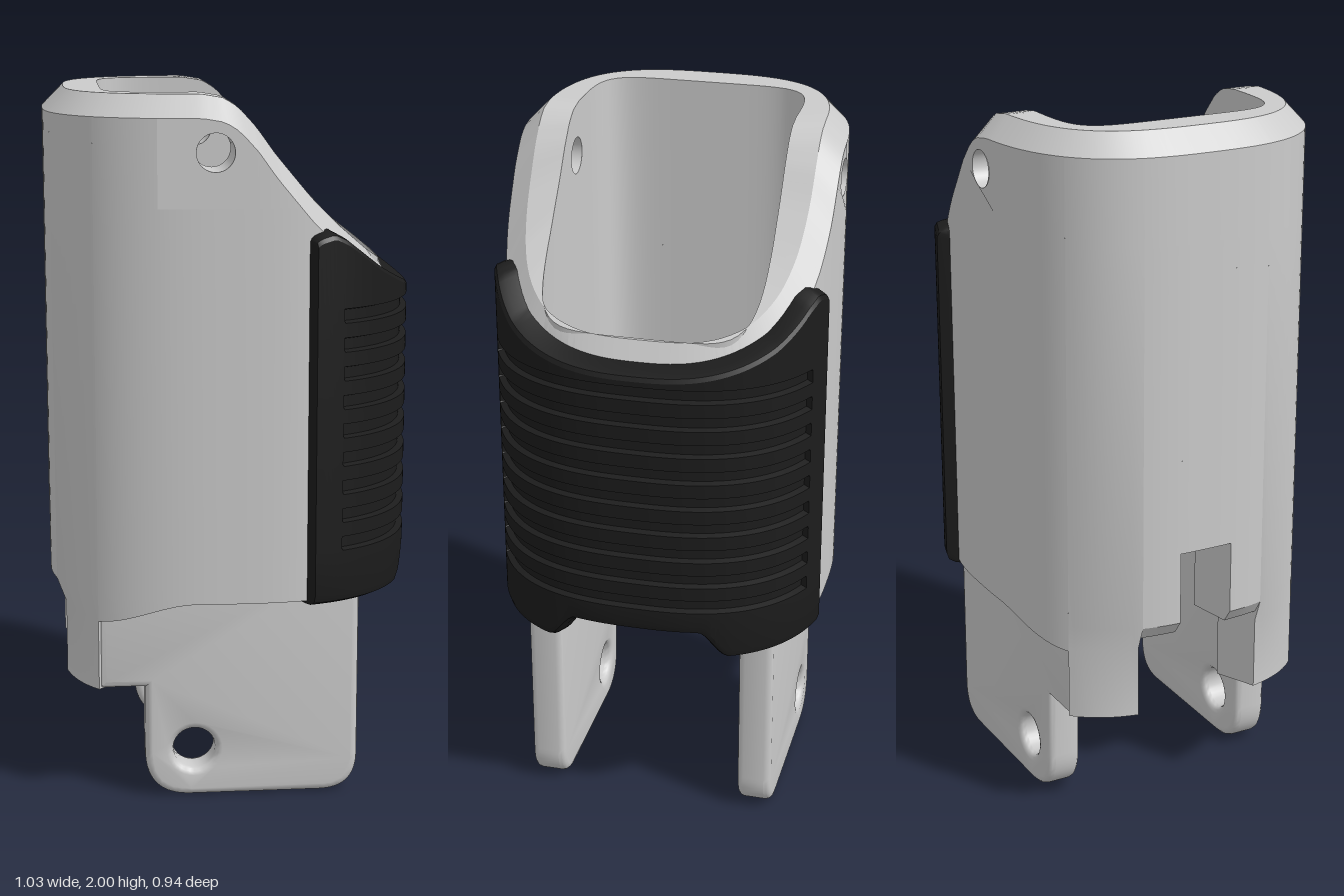
import * as THREE from 'three';
import { toCreasedNormals } from 'three/addons/utils/BufferGeometryUtils.js';

const grey = new THREE.MeshStandardMaterial({ color: 0xcccccc, side: THREE.DoubleSide });
const black = new THREE.MeshStandardMaterial({ color: 0x1c1c1c, side: THREE.DoubleSide });

// Superellipse sections: left and right half-lengths, half-depth, exponent
const OUTER = { l: 0.52, r: 0.465, b: 0.455, n: 2.75 };
const INNER = { l: 0.36, r: 0.42, b: 0.31, n: 6 };
const INNER_LOW = { ...INNER, r: 0.36 };
const RIM = { l: 0.46, r: 0.425, b: 0.395, n: 3 };
const PAD_OUT = { l: 0.5, r: 0.515, b: 0.49, n: 2.6 };
const PAD_IN = { l: 0.45, r: 0.45, b: 0.425, n: 2.75 };

function onSection(s, t) {
  const c = Math.cos(t), k = Math.sin(t), a = c < 0 ? s.l : s.r;
  const r = (Math.abs(c / a) ** s.n + Math.abs(k / s.b) ** s.n) ** (-1 / s.n);
  return [r * c, r * k];
}
const depthAt = (s, x) => s.b * (1 - Math.abs(x / (x < 0 ? s.l : s.r)) ** s.n) ** (1 / s.n);
const lengthAt = (s, z) => s.l * (1 - Math.abs(z / s.b) ** s.n) ** (1 / s.n);
const smooth = THREE.MathUtils.smoothstep;

function curve(points, x) {
  if (x <= points[0][0]) return points[0][1];
  for (let i = 1; i < points.length; i++) {
    const [x0, y0] = points[i - 1], [x1, y1] = points[i];
    if (x <= x1) return y0 + (y1 - y0) * (x - x0) / (x1 - x0);
  }
  return points[points.length - 1][1];
}

// Surface through columns of points; each column is a closed loop
function skin(columns, closed, skip = () => false) {
  const pos = [], n = columns.length, m = columns[0].length;
  const tri = new THREE.Triangle();
  const add = (a, b, c) => {
    if (tri.set(a, b, c).getArea() > 1e-6) for (const p of [a, b, c]) pos.push(p.x, p.y, p.z);
  };
  for (let j = 0; j < (closed ? n : n - 1); j++) {
    const p = columns[j], q = columns[(j + 1) % n];
    for (let i = 0; i < m; i++) {
      if (skip(j, i)) continue;
      const k = (i + 1) % m;
      add(p[i], p[k], q[k]);
      add(p[i], q[k], q[i]);
    }
  }
  const g = new THREE.BufferGeometry();
  g.setAttribute('position', new THREE.Float32BufferAttribute(pos, 3));
  return toCreasedNormals(g, 0.45);
}

function part(group, name, geometry, material = grey) {
  const mesh = new THREE.Mesh(geometry, material);
  mesh.name = name;
  group.add(mesh);
  return mesh;
}

// Sloping mouth of the sleeve
const TOP = [[-0.1, 2], [-0.04, 1.99], [0, 1.965], [0.05, 1.91], [0.1, 1.84], [0.2, 1.72],
  [0.28, 1.64], [0.36, 1.57], [0.42, 1.525], [0.47, 1.5]];
const topY = (x) => curve(TOP, x);
const HOLE = { x: -0.065, y: 1.85, r: 0.052 };

// Angles of the notch and skirt edges, measured from the -x end
const edge = (x, z) => Math.atan2(z, -x);
const SLOT = edge(-lengthAt(OUTER, 0.08), 0.08);
const GAP = edge(-lengthAt(OUTER, 0.19), 0.19);
const SKIRT = edge(-0.39, depthAt(OUTER, -0.39));
const scallop = (z) => 0.08 * (1 - smooth(Math.abs(z), 0.18, 0.27));

function bottomY(t) {
  const phi = Math.PI - Math.abs(t), [x, z] = onSection(OUTER, t);
  if (phi < SLOT) return 0.82;
  if (phi < GAP) return 0.57;
  if (phi < SKIRT) return 0.33;
  return 0.53 + 0.07 * smooth(x, -0.42, -0.12) + (x > 0.2 ? scallop(z) : 0);
}

function addSleeve(group) {
  const tA = Math.atan2(depthAt(OUTER, -0.22), -0.22), tB = Math.atan2(depthAt(OUTER, 0.044), 0.044);
  const angles = [];
  for (let i = 0; i < 144; i++) angles.push(-Math.PI + (i + 0.5) * Math.PI / 72);
  for (const s of [-1, 1]) {
    angles.push(s * tA, s * tB);
    for (const phi of [SLOT, GAP, SKIRT])
      for (const e of [-1e-6, 1e-6]) angles.push(s * (Math.PI - phi + e));
  }
  angles.sort((a, b) => a - b);
  const columns = angles.map((t) => {
    const bot = bottomY(t), [x, z] = onSection(OUTER, t), [rx, rz] = onSection(RIM, t);
    const [ix, iz] = onSection(INNER, t), [lx, lz] = onSection(INNER_LOW, t);
    const shoulder = topY(x) - 0.06;
    const inset = 0.03 * Math.max(0, (-x - 0.39) / 0.13); // skirt steps in at the end
    const V = (a, b, c) => new THREE.Vector3(a, b, c);
    return [
      V(x + (bot < 0.6 ? inset : 0), bot, z),
      V(x + (bot < 0.6 ? inset : 0), Math.max(bot, 0.54), z),
      V(x, Math.max(bot, 0.61), z),
      V(x, Math.min(1.7, shoulder), z),
      V(x, shoulder, z),
      V(rx, topY(rx), rz),
      V(ix, topY(ix), iz),
      V(ix, Math.min(1.7, topY(ix)), iz),
      V(ix, 1.4, iz),
      V(lx, 1.32, lz),
      V(lx, bot, lz),
    ];
  });
  // Wall cells around the pin holes are left open and filled by pierced patches
  const pierced = (j, i) => {
    const mid = Math.abs((angles[j] + angles[(j + 1) % angles.length]) / 2);
    return (i === 3 || i === 6) && mid > tB && mid < tA && j < angles.length - 1;
  };
  part(group, 'sleeve', skin(columns, true, pierced));

  const near = columns.filter((c, j) => angles[j] >= tB - 1e-9 && angles[j] <= tA + 1e-9);
  for (const [section, low, high] of [[OUTER, 3, 4], [INNER, 7, 6]]) {
    const outline = [...near.map((c) => c[low]), ...near.map((c) => c[high]).reverse()];
    const shape = new THREE.Shape(outline.map((p) => new THREE.Vector2(p.x, p.y)));
    shape.holes.push(new THREE.Path().absarc(HOLE.x, HOLE.y, HOLE.r, 0, Math.PI * 2, true));
    for (const s of [-1, 1]) {
      const g = new THREE.ShapeGeometry(shape, 20), p = g.attributes.position;
      for (let i = 0; i < p.count; i++) p.setZ(i, s * depthAt(section, p.getX(i)));
      part(group, 'piercedWall', g);
    }
  }
  for (const s of [-1, 1]) {
    const bore = new THREE.CylinderGeometry(HOLE.r, HOLE.r, 0.145, 40, 1, true).rotateX(Math.PI / 2);
    part(group, 'pinHole', bore).position.set(HOLE.x, HOLE.y, s * 0.3825);
  }
}

// Side plates with a pivot hole
function addPlates(group) {
  const s = new THREE.Shape();
  s.moveTo(-0.39, 0.72).lineTo(-0.39, 0.33).lineTo(-0.26, 0.33).lineTo(-0.26, 0.13);
  s.quadraticCurveTo(-0.26, 0, -0.13, 0).lineTo(0.24, 0);
  s.quadraticCurveTo(0.35, 0, 0.35, 0.11).lineTo(0.35, 0.72);
  s.holes.push(new THREE.Path().absarc(-0.12, 0.14, 0.06, 0, Math.PI * 2, true));
  const b = 0.02;
  const g = toCreasedNormals(new THREE.ExtrudeGeometry(s, {
    depth: 0.1 - 2 * b, bevelEnabled: true, bevelSize: b, bevelThickness: b, bevelOffset: -b,
    bevelSegments: 3, curveSegments: 16,
  }), 0.6);
  for (const z of [0.265, -0.365]) part(group, 'sidePlate', g).position.z = z + b;
}

// Ribbed grip wrapped around the +x end
function addGrip(group) {
  const PAD_TOP = [[0.18, 1.59], [0.22, 1.625], [0.26, 1.635], [0.3, 1.615], [0.4, 1.535], [0.515, 1.46]];
  const end = Math.atan2(0.463, 0.2), grooveEnd = 0.99, count = 96;
  const angles = [-end];
  for (let i = 0; i <= count; i++) angles.push((i / count * 2 - 1) * end);
  angles.push(end);
  for (const s of [-1, 1]) angles.push(s * grooveEnd, s * (grooveEnd + 0.01), s * (end - 0.01));
  angles.sort((a, b) => a - b);
  const columns = angles.map((t, j) => {
    const [ox, oz] = onSection(PAD_OUT, t), [ix, iz] = onSection(PAD_IN, t);
    const top = curve(PAD_TOP, ox), bot = 0.59 + scallop(oz);
    const last = j === 0 || j === angles.length - 1;
    const side = last ? 0 : Math.abs(t) > end - 0.005 ? 0.6 : 1;
    const at = (f, y) => {
      const k = f * side;
      return new THREE.Vector3(ix + (ox - ix) * k, y, iz + (oz - iz) * k);
    };
    const rows = [at(0, bot), at(0.6, bot), at(0.9, bot + 0.01), at(1, bot + 0.03)];
    const groove = Math.abs(t) < grooveEnd + 0.005 ? 0.72 : 1;
    for (let k = 0; k < 9; k++) {
      const y = 0.765 + 0.08 * k;
      rows.push(at(1, y - 0.02), at(groove, y - 0.015), at(groove, y + 0.015), at(1, y + 0.02));
    }
    rows.push(at(1, top - 0.02), at(0.9, top - 0.008), at(0.6, top), at(0, top + 0.01));
    return rows;
  });
  part(group, 'grip', skin(columns, false), black);
}

export function createModel() {
  const group = new THREE.Group();
  group.name = 'pivotSleeve';
  addSleeve(group);
  addPlates(group);
  addGrip(group);
  return group;
}
